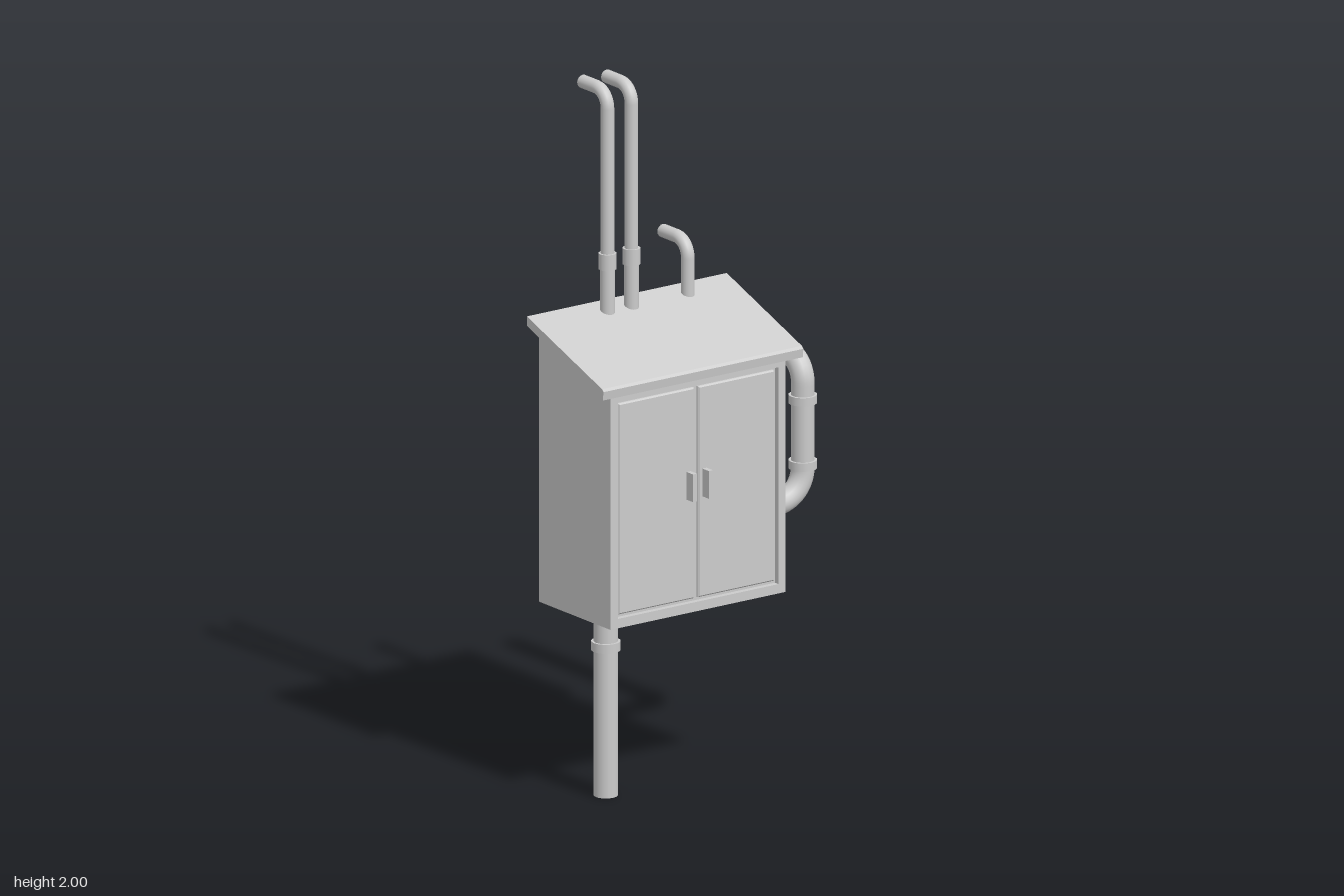
import * as THREE from 'three';

const material = new THREE.MeshStandardMaterial({ color: 0xcccccc, side: THREE.DoubleSide });
const V = (x, y, z) => new THREE.Vector3(x, y, z);

export function createModel() {
  const root = new THREE.Group();
  const add = (name, geometry, x = 0, y = 0, z = 0, parent = root) => {
    const mesh = new THREE.Mesh(geometry, material);
    mesh.name = name;
    mesh.position.set(x, y, z);
    parent.add(mesh);
    return mesh;
  };
  const polygon = (points) => new THREE.Shape(points.map(([x, y]) => new THREE.Vector2(x, y)));
  const rect = (x0, y0, x1, y1) => [[x0, y0], [x1, y0], [x1, y1], [x0, y1]];

  // Cabinet extents: doors face +x, the -x side is open
  const xBack = -0.09, xFront = 0.24, yBase = 0.535, zMin = -0.212, zMax = 0.388;

  // Side walls with a sloping top
  const wall = polygon([[xBack, yBase], [xFront, yBase], [xFront, 1.225], [xBack, 1.35]]);
  add('sideWallLeft', new THREE.ShapeGeometry(wall), 0, 0, zMax);
  add('sideWallRight', new THREE.ShapeGeometry(wall), 0, 0, zMin);

  // Floor with a hole for the drain pipe
  const floorShape = polygon(rect(xBack, -zMax, xFront, -zMin));
  floorShape.holes.push(new THREE.Path().absarc(0.077, -0.283, 0.033, 0, Math.PI * 2, true));
  add('floor', new THREE.ShapeGeometry(floorShape), 0, yBase, 0).rotation.x = -Math.PI / 2;

  // Front frame, drawn in (-z, y) and turned to face +x
  const frameShape = polygon(rect(-zMax, yBase, -zMin, 1.22));
  frameShape.holes.push(new THREE.Path(rect(-0.362, 0.562, 0.188, 1.187).map(([x, y]) => new THREE.Vector2(x, y))));
  const frame = new THREE.ExtrudeGeometry(frameShape, { depth: 0.02, bevelEnabled: false });
  add('doorFrame', frame, xFront - 0.02, 0, 0).rotation.y = Math.PI / 2;

  // Pair of recessed doors with chamfered rims, and their handles
  add('doorBacking', new THREE.BoxGeometry(0.004, 0.63, 0.556), 0.222, 0.8745, 0.087);
  for (const side of [-1, 1]) {
    const door = new THREE.Group();
    door.name = side > 0 ? 'leftDoor' : 'rightDoor';
    door.position.set(0, 0.8745, 0.0875 + side * 0.137);
    root.add(door);
    const leaf = new THREE.ExtrudeGeometry(polygon(rect(-0.126, -0.3, 0.126, 0.3)),
      { depth: 0.006, bevelThickness: 0.004, bevelSize: 0.004, bevelSegments: 1 });
    add('doorLeaf', leaf, 0.223, 0, 0, door).rotation.y = Math.PI / 2;
    add('handle', new THREE.BoxGeometry(0.032, 0.08, 0.014), 0.247, 0.0255, -side * 0.11, door);
  }

  // Sloped roof slab with a chamfered front lip
  const roofShape = polygon([[xBack, 1.338], [0.24, 1.217], [0.262, 1.209], [0.265, 1.234], [0.258, 1.241], [xBack, 1.365]]);
  add('roof', new THREE.ExtrudeGeometry(roofShape, {
    depth: 0.685, bevelEnabled: false,
  }), 0, 0, -0.255);

  // Pipe along a polyline with rounded corners
  function pipe(name, points, bends, radius) {
    const path = new THREE.CurvePath();
    let start = points[0];
    for (let i = 1; i < points.length - 1; i++) {
      const p = points[i], r = bends[i - 1], k = 0.448 * r;
      const toPrev = points[i - 1].clone().sub(p).normalize();
      const toNext = points[i + 1].clone().sub(p).normalize();
      const at = (dir, d) => p.clone().addScaledVector(dir, d);
      path.add(new THREE.LineCurve3(start, at(toPrev, r)));
      path.add(new THREE.CubicBezierCurve3(at(toPrev, r), at(toPrev, k), at(toNext, k), at(toNext, r)));
      start = at(toNext, r);
    }
    const end = points[points.length - 1];
    path.add(new THREE.LineCurve3(start, end));
    add(name, new THREE.TubeGeometry(path, 80, radius, 16, false));
    const cap = add(name + 'EndCap', new THREE.CircleGeometry(radius, 16), end.x, end.y, end.z);
    cap.lookAt(end.clone().add(path.getTangent(1)));
  }
  const collar = (x, y, z, radius, height) =>
    add('collar', new THREE.CylinderGeometry(radius, radius, height, 16), x, y, z);

  // Drain pipe below the cabinet
  pipe('drainPipe', [V(0.077, 0.552, 0.283), V(0.077, 0, 0.283)], [], 0.034);
  collar(0.077, 0.432, 0.283, 0.041, 0.026);

  // Side pipe: out of the wall, up, then back
  pipe('sidePipe', [V(0.077, 0.733, -0.2), V(0.077, 0.733, -0.392), V(0.077, 1.137, -0.392), V(-0.27, 1.137, -0.392)],
    [0.09, 0.07], 0.033);
  collar(0.077, 0.832, -0.392, 0.04, 0.024);
  collar(0.077, 1.02, -0.392, 0.04, 0.024);

  // Roof pipes: two tall vents with collars and one short vent
  for (const [name, z, top] of [['tallVent', 0.105, 1.981], ['tallVent', 0.187, 1.981], ['shortVent', -0.088, 1.501]]) {
    pipe(name, [V(-0.045, 1.31, z), V(-0.045, top, z), V(-0.16, top, z)], [0.05], 0.019);
    if (name === 'tallVent') {
      collar(-0.045, 1.492, z, 0.025, 0.046);
      add('ventSleeve', new THREE.CylinderGeometry(0.021, 0.021, 0.16, 16), -0.045, 1.39, z);
    }
  }
  return root;
}
